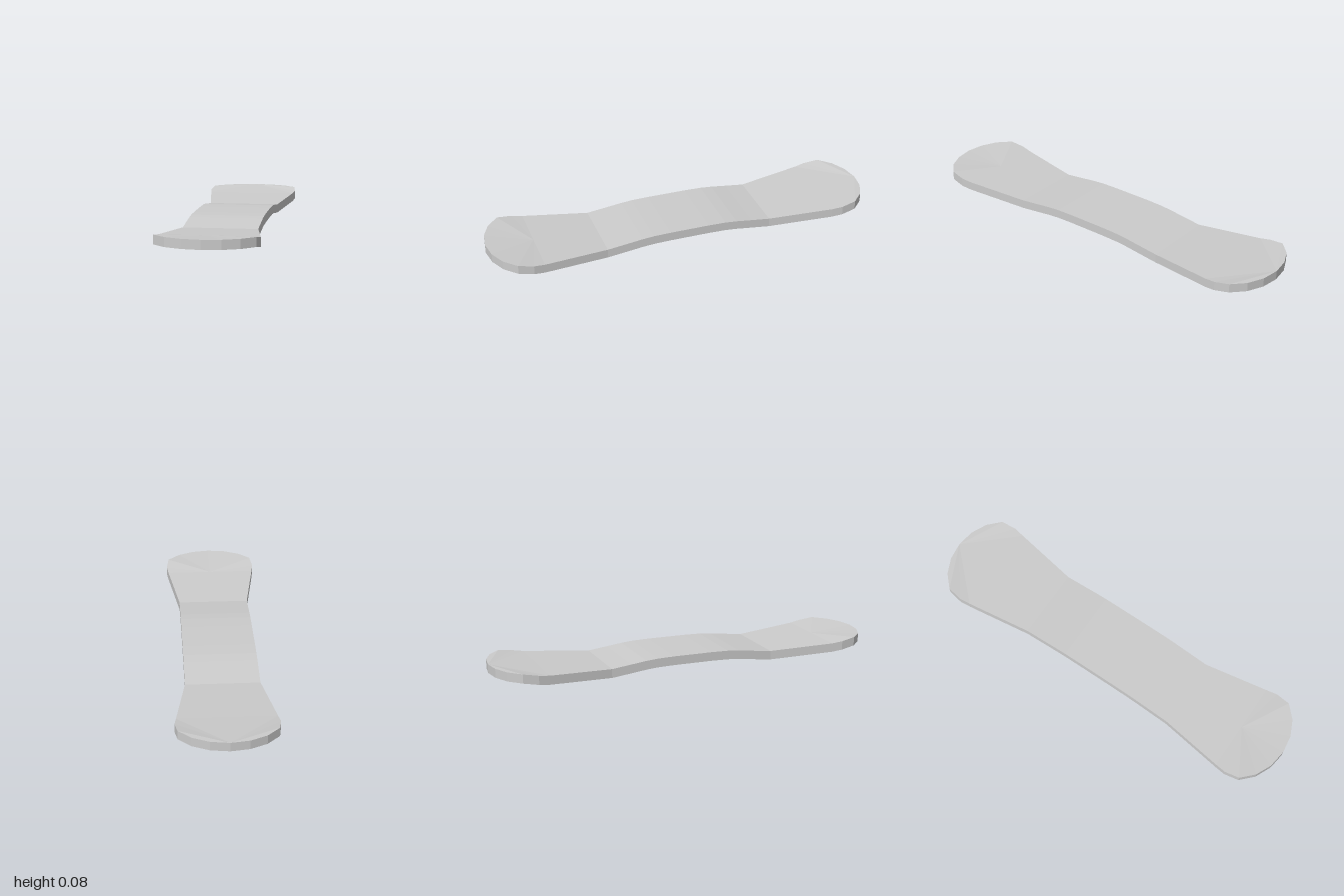
import * as THREE from 'three';

const THICK = 0.045;

// Half of the plank: [half width, z, top height]; the last three round off the end
const BODY = [
  [0.183, 0, 0.075], [0.183, 0.1, 0.075], [0.183, 0.19, 0.073], [0.183, 0.25, 0.068],
  [0.183, 0.33, 0.058], [0.183, 0.43, 0.046], [0.235, 0.76, 0.065],
];
const END = [[0.243, 0.815, 0.073], [0.232, 0.89, 0.085], [0.17, 0.95, 0.085], [0.09, 0.987, 0.085]];
const TIP = [0, 1, 0.085];

function buildPlank() {
  const positions = [];
  const tri = (a, b, c) => positions.push(...a, ...b, ...c);
  // Horizontal triangle, wound to face up or down
  const face = (a, b, c, up) => {
    const ny = (b[2] - a[2]) * (c[0] - a[0]) - (b[0] - a[0]) * (c[2] - a[2]);
    if ((ny > 0) === up) tri(a, b, c);
    else tri(a, c, b);
  };

  for (const dir of [1, -1]) {
    for (const up of [true, false]) {
      const point = ([x, z, y], side) => [x * side, up ? y : y - THICK, z * dir];
      // Bent strips along the body
      for (let i = 0; i < BODY.length - 1; i++) {
        const [a, b] = [point(BODY[i], -1), point(BODY[i], 1)];
        const [c, d] = [point(BODY[i + 1], -1), point(BODY[i + 1], 1)];
        face(a, b, c, up);
        face(b, d, c, up);
      }
      // Upturned end, fanned from its centre or from its tip
      const root = BODY[BODY.length - 1];
      const fromCentre = (dir > 0) === up;
      const hub = point(fromCentre ? [0, root[1], root[2]] : TIP, 1);
      const arc = [root, ...END];
      for (const side of [1, -1]) {
        for (let i = 0; i < arc.length - 1; i++) face(hub, point(arc[i], side), point(arc[i + 1], side), up);
        if (fromCentre) face(hub, point(arc[arc.length - 1], side), point(TIP, side), up);
      }
      if (!fromCentre) face(hub, point(root, 1), point(root, -1), up);
    }
    // Upright rim wall
    const edge = [...BODY, ...END, TIP];
    for (const side of [1, -1]) {
      for (let i = 0; i < edge.length - 1; i++) {
        const [p, q] = [edge[i], edge[i + 1]];
        const a = [p[0] * side, p[2], p[1] * dir];
        const b = [q[0] * side, q[2], q[1] * dir];
        const c = [a[0], a[1] - THICK, a[2]];
        const d = [b[0], b[1] - THICK, b[2]];
        if (side * dir > 0) { tri(a, b, c); tri(b, d, c); }
        else { tri(a, c, b); tri(b, c, d); }
      }
    }
  }

  const geometry = new THREE.BufferGeometry();
  geometry.setAttribute('position', new THREE.Float32BufferAttribute(positions, 3));
  geometry.translate(0, -0.001, 0);
  geometry.computeVertexNormals();
  return geometry;
}

export function createModel() {
  const model = new THREE.Group();
  const material = new THREE.MeshStandardMaterial({ color: 0xcccccc, flatShading: true });
  const plank = new THREE.Mesh(buildPlank(), material);
  plank.name = 'plank';
  model.add(plank);
  return model;
}
